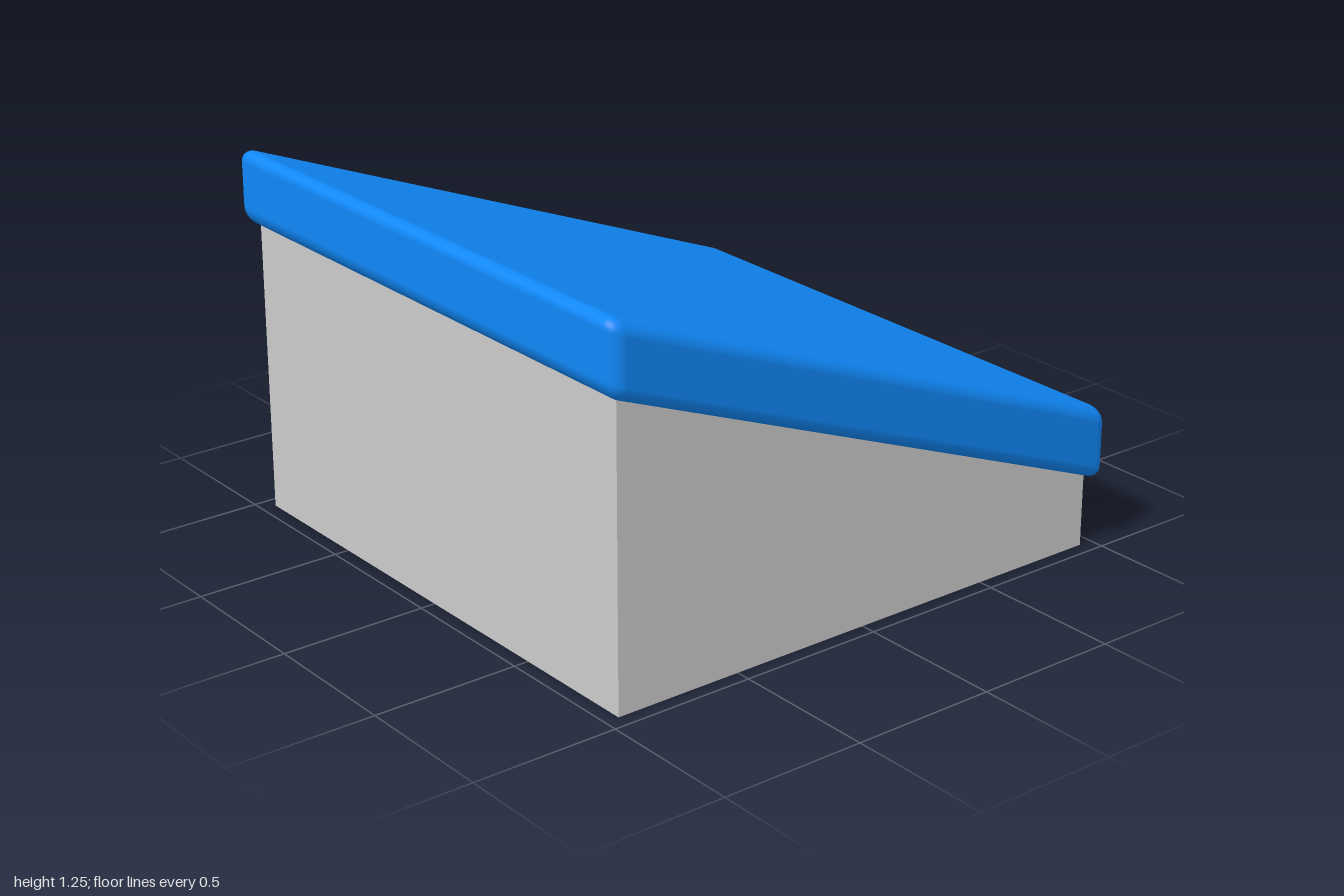
import * as THREE from 'three';
import { RoundedBoxGeometry } from 'three/addons/geometries/RoundedBoxGeometry.js';

const HALF = 0.95;          // half width of the base
const HIGH = 1.0;           // base height on the tall side
const LOW = 0.25;           // base height on the short side
const THICK = 0.25;         // vertical thickness of the roof slab
const SLOPE = (LOW - HIGH) / (2 * HALF);

export function createModel() {
  const model = new THREE.Group();
  model.name = 'slopedBlock';

  // Wedge-shaped base with a slanted top
  const profile = new THREE.Shape([
    new THREE.Vector2(-HALF, 0),
    new THREE.Vector2(HALF, 0),
    new THREE.Vector2(HALF, LOW),
    new THREE.Vector2(-HALF, HIGH),
  ]);
  const baseGeometry = new THREE.ExtrudeGeometry(profile, { depth: 2 * HALF, bevelEnabled: false });
  baseGeometry.translate(0, 0, -HALF);
  const base = new THREE.Mesh(baseGeometry, new THREE.MeshStandardMaterial({ color: 0xcccccc }));
  base.name = 'base';

  // Rounded roof slab, sheared so its ends stay vertical
  const roofGeometry = new RoundedBoxGeometry(2, THICK, 2, 6, 0.05);
  roofGeometry.applyMatrix4(new THREE.Matrix4().set(
    1, 0, 0, 0,
    SLOPE, 1, 0, (HIGH + LOW + THICK) / 2,
    0, 0, 1, 0,
    0, 0, 0, 1,
  ));
  const roof = new THREE.Mesh(roofGeometry, new THREE.MeshStandardMaterial({ color: 0x1088f8 }));
  roof.name = 'roofSlab';

  model.add(base, roof);
  return model;
}
